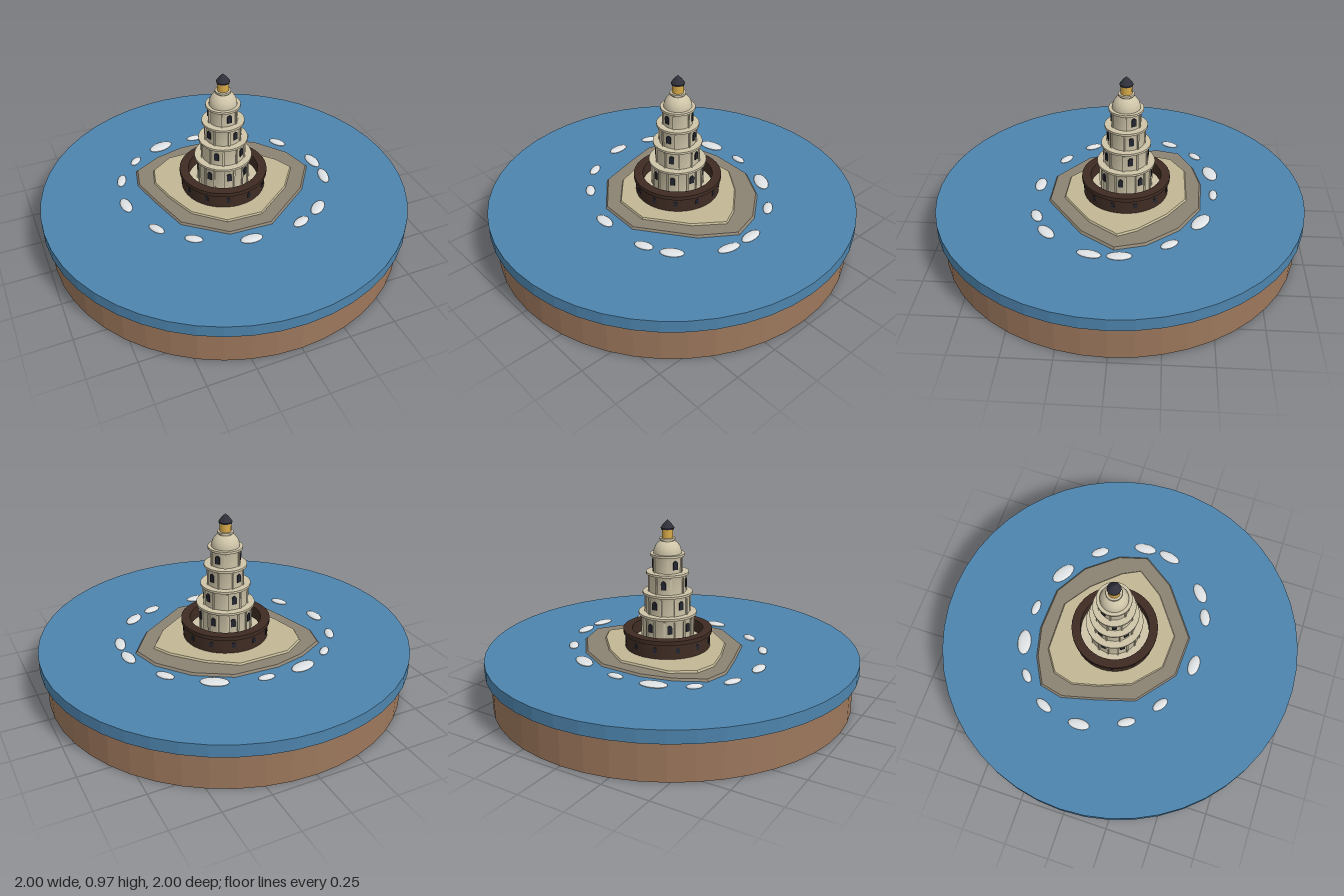
import * as THREE from 'three';
import { toCreasedNormals } from 'three/addons/utils/BufferGeometryUtils.js';

const mat = (name, color, extra = {}) => {
  const m = new THREE.MeshStandardMaterial({ color, ...extra });
  m.name = name;
  return m;
};

export function createModel() {
  const earth = mat('earth brown', 0x9c775c, { flatShading: true });
  const water = mat('sea blue', 0x4d84ad, { flatShading: true });
  const rock = mat('rock grey', 0x8b8272, { flatShading: true });
  const sand = mat('sand', 0xc2b795, { flatShading: true });
  const foam = mat('foam white', 0xdfe2e4);
  const brick = mat('dark brick', 0x3f2c23);
  const stone = mat('cream stone', 0xcec4a8);
  const glass = mat('window dark', 0x23252f);
  const gold = mat('lamp gold', 0xd8aa48);
  const slate = mat('roof slate', 0x2f303a);

  const model = new THREE.Group();
  const add = (parent, name, geometry, material, x = 0, y = 0, z = 0) => {
    const mesh = new THREE.Mesh(geometry, material);
    mesh.name = name;
    mesh.position.set(x, y, z);
    parent.add(mesh);
    return mesh;
  };
  const lathe = (pts, segments = 32) =>
    toCreasedNormals(new THREE.LatheGeometry(pts.map(p => new THREE.Vector2(...p)), segments), 0.6);

  // Round display base and sea
  add(model, 'base', new THREE.CylinderGeometry(0.97, 0.97, 0.2, 48), earth, 0, 0.1, 0);
  add(model, 'sea', new THREE.CylinderGeometry(1, 1, 0.067, 48), water, 0, 0.2335, 0);

  // Island slabs: an outline on the ground, narrowing towards its top
  const slab = (outline, y0, y1, topScale) => {
    const n = outline.length, pos = [], idx = [];
    for (const [y, s] of [[y0, 1], [y1, topScale]])
      for (const [x, z] of outline) pos.push(x * s, y, z * s);
    pos.push(0, y1, 0);
    for (let i = 0; i < n; i++) {
      const j = (i + 1) % n;
      idx.push(i, n + i, j, j, n + i, n + j, n + i, 2 * n, n + j);
    }
    const g = new THREE.BufferGeometry();
    g.setAttribute('position', new THREE.Float32BufferAttribute(pos, 3));
    g.setIndex(idx);
    const flat = g.toNonIndexed();
    flat.computeVertexNormals();
    return flat;
  };
  // Outlines run anticlockwise as seen from above
  const rockLine = [[-0.26, -0.41], [-0.09, -0.45], [0.155, -0.44], [0.34, -0.33], [0.475, -0.16], [0.52, 0],
    [0.395, 0.18], [0.117, 0.38], [-0.12, 0.37], [-0.33, 0.2], [-0.395, -0.02], [-0.44, -0.2], [-0.41, -0.33]].reverse();
  const sandLine = [[-0.32, -0.28], [-0.2, -0.36], [0.085, -0.365], [0.235, -0.26], [0.37, -0.11], [0.42, -0.01],
    [0.31, 0.14], [0.095, 0.295], [-0.1, 0.285], [-0.25, 0.15], [-0.315, -0.02], [-0.35, -0.165]].reverse();
  const upright = line => {
    // keep the winding that makes the top face upwards
    const g = slab(line, 0, 1, 1);
    return g.attributes.normal.getY(6) > 0 ? line : [...line].reverse();
  };
  add(model, 'rockShore', slab(upright(rockLine), 0.262, 0.278, 0.97), rock);
  add(model, 'sandIsland', slab(upright(sandLine), 0.276, 0.288, 0.98), sand);

  // Foam patches round the shore: x, z, half length, half width, turn in the ground plane
  const patches = [[-0.2, -0.5, 0.072, 0.038, 0.25], [0.015, -0.51, 0.046, 0.022, -0.05],
    [0.265, -0.435, 0.074, 0.038, -0.55], [0.46, -0.275, 0.052, 0.026, -0.95],
    [0.565, -0.03, 0.064, 0.03, -1.5], [0.557, 0.12, 0.064, 0.028, 1.35],
    [0.395, 0.355, 0.062, 0.032, 0.7], [0.26, 0.423, 0.052, 0.028, 0.4],
    [-0.032, 0.443, 0.06, 0.031, -0.05], [-0.305, 0.332, 0.048, 0.025, -0.6],
    [-0.455, 0.187, 0.05, 0.024, -1.05], [-0.546, -0.055, 0.06, 0.029, -1.52],
    [-0.508, -0.27, 0.051, 0.024, 1.15], [-0.38, -0.418, 0.042, 0.022, 0.75]];
  const ball = new THREE.SphereGeometry(1, 16, 10);
  for (const [x, z, a, b, turn] of patches) {
    const f = add(model, 'foamPatch', ball, foam, x, 0.272, z);
    f.scale.set(a, 0.012, b);
    f.rotation.y = turn;
  }

  const tower = new THREE.Group();
  tower.name = 'lighthouse';
  tower.position.set(0.008, 0, -0.033);
  model.add(tower);

  // Place a part on a circle; angle 0 faces the front
  const around = (name, geometry, material, r, y, angle) => {
    const m = add(tower, name, geometry, material, r * Math.sin(angle), y, r * Math.cos(angle));
    m.rotation.y = angle;
  };
  const archGeometry = (w, h) => {
    const s = new THREE.Shape();
    s.moveTo(-w / 2, -h / 2);
    s.lineTo(w / 2, -h / 2);
    s.lineTo(w / 2, h / 2 - w / 2);
    s.absarc(0, h / 2 - w / 2, w / 2, 0, Math.PI, false);
    s.closePath();
    return new THREE.ExtrudeGeometry(s, { depth: 0.008, bevelEnabled: false, curveSegments: 6 });
  };

  // Ring wall with a projecting rim and small windows
  add(tower, 'ringWall', lathe([[0.228, 0.28], [0.228, 0.366], [0.238, 0.366], [0.238, 0.388],
    [0.19, 0.388], [0.19, 0.28]], 40), brick);
  add(tower, 'courtyard', new THREE.CylinderGeometry(0.191, 0.191, 0.03, 40), stone, 0, 0.305, 0);
  const smallArch = archGeometry(0.02, 0.03);
  for (let i = 0; i < 12; i++) around('wallWindow', smallArch, glass, 0.222, 0.335, (i + 0.5) * Math.PI / 6);

  // Stepped tiers: bottom, top, wall radius, ledge radius, window height, count and first angle
  const tiers = [
    [0.31, 0.48, 0.137, 0.155, 0.415, 8, -0.15],
    [0.48, 0.592, 0.117, 0.132, 0.535, 5, 0.57],
    [0.592, 0.7, 0.097, 0.113, 0.643, 4, 0.33],
    [0.7, 0.797, 0.078, 0.092, 0.744, 3, 0.05],
  ];
  const arch = archGeometry(0.026, 0.046);
  for (const [y0, y1, r, ledge, wy, count, phase] of tiers) {
    add(tower, 'tier', lathe([[r, y0], [r, y1 - 0.028], [ledge - 0.01, y1 - 0.012],
      [ledge, y1 - 0.012], [ledge, y1], [r - 0.03, y1]]), stone);
    const h = y1 - 0.022 - y0;
    const rib = new THREE.BoxGeometry(0.009, h, 0.012);
    for (let i = 0; i < count * 2; i++)
      around('rib', rib, stone, r, y0 + h / 2, phase + (i + 0.5) * Math.PI / count);
    for (let i = 0; i < count; i++)
      around('window', arch, glass, r - 0.004, wy, phase + i * 2 * Math.PI / count);
  }

  // Dome, lantern and roof
  add(tower, 'dome', lathe([[0.074, 0.795], [0.073, 0.812], [0.066, 0.832], [0.053, 0.85], [0.036, 0.862],
    [0.036, 0.868], [0.042, 0.868], [0.042, 0.878], [0, 0.878]]), stone);
  add(tower, 'lantern', new THREE.CylinderGeometry(0.03, 0.03, 0.05, 16), gold, 0, 0.902, 0);
  add(tower, 'roof', lathe([[0, 0.922], [0.034, 0.922], [0.036, 0.93], [0.019, 0.954], [0.006, 0.966], [0, 0.972]], 16), slate);

  return model;
}
